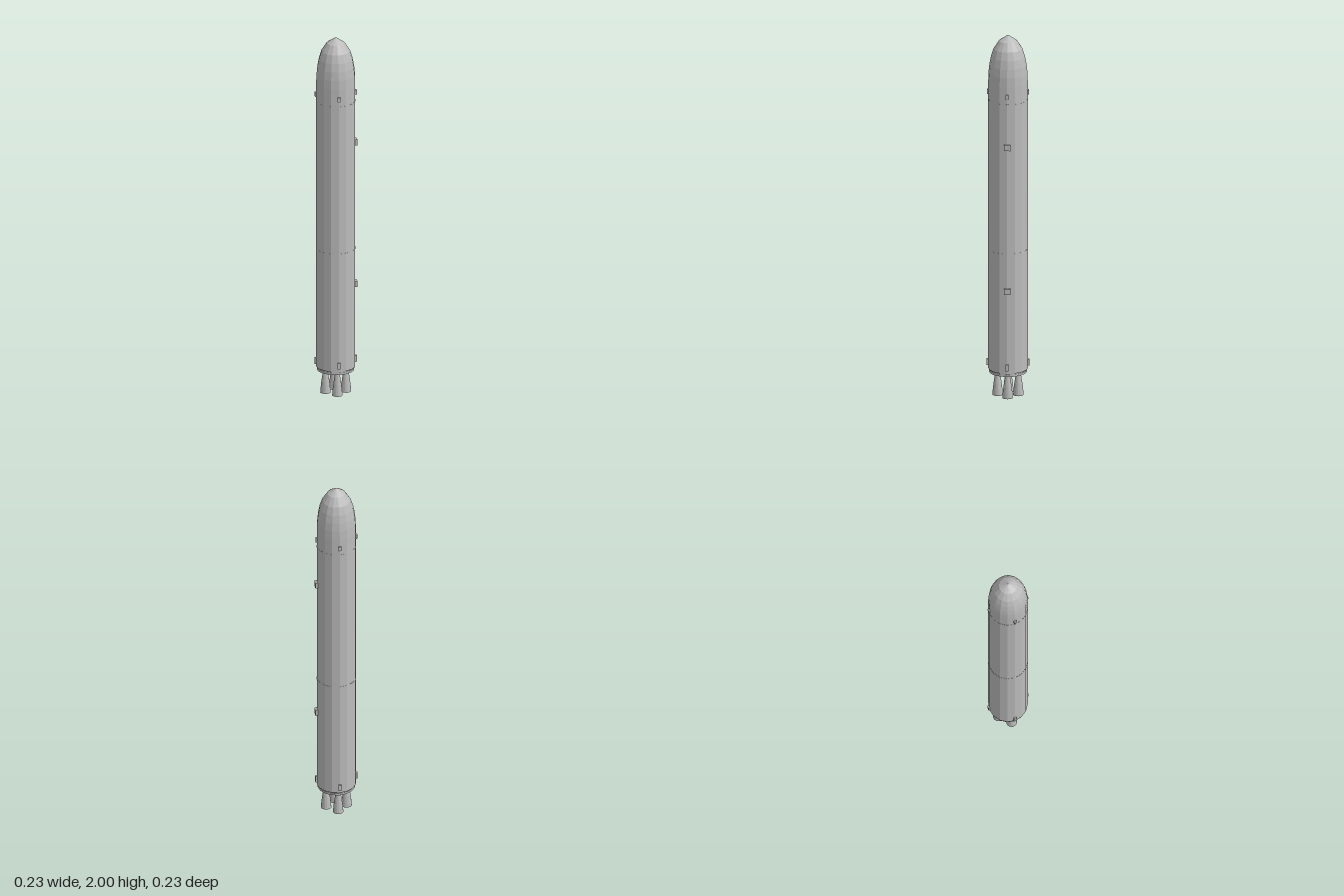
import * as THREE from 'three';

const SIDES = 16;

export function createModel() {
  const model = new THREE.Group();
  model.name = 'rocket';
  const grey = new THREE.MeshStandardMaterial({ color: 0xbcbcbc });
  grey.name = 'hull grey';
  grey.flatShading = true;
  const greyOpen = grey.clone();
  greyOpen.side = THREE.DoubleSide;

  const add = (name, geometry, x = 0, y = 0, z = 0, material = grey) => {
    const mesh = new THREE.Mesh(geometry, material);
    mesh.name = name;
    mesh.position.set(x, y, z);
    model.add(mesh);
    return mesh;
  };
  const lathe = (points, sides) =>
    new THREE.LatheGeometry(points.map(([r, y]) => new THREE.Vector2(r, y)), sides);

  // Hull with a closed base and a rounded nose
  add('hull', lathe([
    [0, 0.148], [0.105, 0.148], [0.105, 1.74]
  ], SIDES));
  add('nose', lathe([
    [0.105, 1.74], [0.1035, 1.79], [0.099, 1.835], [0.0905, 1.88],
    [0.0765, 1.924], [0.048, 1.968], [0, 2]
  ], SIDES));

  // Thin joints between the tank sections
  for (const y of [0.81, 1.64]) {
    add('sectionJoint', new THREE.CylinderGeometry(0.1057, 0.1057, 0.008, SIDES), 0, y, 0);
  }

  // Recessed neck and base plate above the engines
  add('baseNeck', new THREE.CylinderGeometry(0.098, 0.098, 0.012, SIDES), 0, 0.145, 0);
  add('basePlate', new THREE.CylinderGeometry(0.1, 0.1, 0.012, SIDES), 0, 0.135, 0);

  // Four engine bells and four pairs of small fittings around the axis
  for (let i = 0; i < 4; i++) {
    const a = i * Math.PI / 2;
    const s = Math.sin(a), c = Math.cos(a);
    add('engineBell', lathe([
      [0.028, 0], [0.0255, 0.03], [0.0215, 0.065], [0.016, 0.1], [0.0125, 0.122], [0.0125, 0.132]
    ], SIDES), 0.055 * s, 0, 0.055 * c, greyOpen);
    add('upperFitting', new THREE.BoxGeometry(0.015, 0.025, 0.014), 0.105 * s, 1.685, 0.105 * c)
      .rotation.y = a;
    add('lowerFitting', new THREE.BoxGeometry(0.015, 0.035, 0.016), 0.105 * s, 0.182, 0.105 * c)
      .rotation.y = a;
  }

  // Attachment brackets on the left side
  for (const y of [0.605, 1.405]) {
    add('sideBracket', new THREE.BoxGeometry(0.016, 0.032, 0.034), 0.107, y, 0);
  }

  return model;
}
